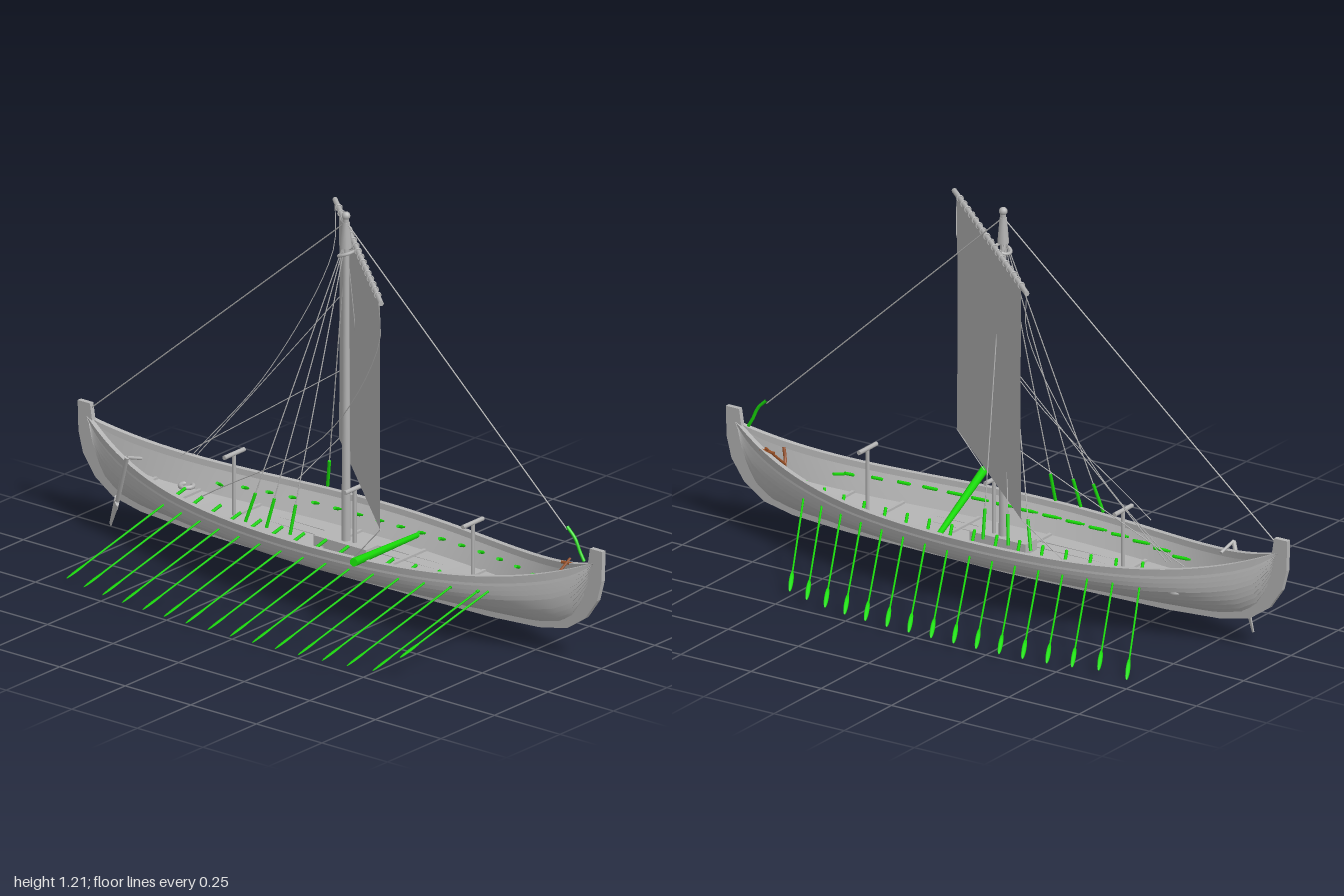
import * as THREE from 'three';

const CX = 0.012; // hull centre line
const V = (x, y, z) => new THREE.Vector3(x, y, z);

// Piecewise linear lookup in a list of [input, output]
function lookup(table, v) {
  for (let i = 1; i < table.length; i++) {
    const [a, b] = [table[i - 1], table[i]];
    if (v <= b[0]) return a[1] + (b[1] - a[1]) * (v - a[0]) / (b[0] - a[0]);
  }
  return table[table.length - 1][1];
}
const KEEL = [[0, 0.078], [0.55, 0.085], [0.75, 0.097], [0.84, 0.115], [0.9, 0.15], [0.945, 0.24], [0.965, 0.32]];
const FLARE = [[0, 0.05], [0.06, 0.2], [0.15, 0.4], [0.32, 0.66], [0.53, 0.88], [0.77, 0.975], [1, 1]];
const beam = z => Math.max(0.006, 0.212 * (1 - (z / 0.97) ** 2));
const sheer = z => 0.225 + 0.1 * Math.abs(z / 0.95) ** 4;
const bottom = z => lookup(KEEL, Math.abs(z));
const DECK = 0.42;
const deckY = z => bottom(z) + (sheer(z) - bottom(z)) * DECK;

// Half section point at height fraction t, pushed outwards by d
function side(z, t, d = 0) {
  const y = bottom(z) + (sheer(z) - bottom(z)) * t;
  return [Math.max(0.002, beam(z) * lookup(FLARE, t) + d), y];
}

// Strip of surface between two lengthwise lines, one strip per side
function strip(lineA, lineB, sign, n = 48) {
  const pos = [], idx = [];
  for (let i = 0; i <= n; i++) {
    const z = 0.965 * Math.sin((i / n - 0.5) * Math.PI);
    for (const [x, y] of [lineA(z), lineB(z)]) pos.push(CX + sign * x, y, z);
    if (i < n) {
      const k = i * 2;
      if (sign > 0) idx.push(k, k + 1, k + 2, k + 1, k + 3, k + 2);
      else idx.push(k, k + 2, k + 1, k + 1, k + 2, k + 3);
    }
  }
  const g = new THREE.BufferGeometry();
  g.setAttribute('position', new THREE.Float32BufferAttribute(pos, 3));
  g.setIndex(idx);
  g.computeVertexNormals();
  return g;
}

export function createModel() {
  const model = new THREE.Group();
  const timber = new THREE.MeshStandardMaterial({ color: 0xb4b4b4, side: THREE.DoubleSide });
  timber.name = 'greyTimber';
  const green = new THREE.MeshStandardMaterial({ color: 0x18dc08 });
  green.name = 'oarGreen';
  const brown = new THREE.MeshStandardMaterial({ color: 0x9a5228 });
  brown.name = 'anchorBrown';

  const add = (name, geo, mat = timber, parent = model) => {
    const m = new THREE.Mesh(geo, mat);
    m.name = name;
    parent.add(m);
    return m;
  };
  // Round bar between two points
  const bar = (name, a, b, r0, r1 = r0, mat = timber, parent = model) => {
    const m = add(name, new THREE.CylinderGeometry(r1, r0, a.distanceTo(b), 8), mat, parent);
    m.position.copy(a).add(b).multiplyScalar(0.5);
    m.quaternion.setFromUnitVectors(V(0, 1, 0), b.clone().sub(a).normalize());
    return m;
  };
  const rope = (name, pts, r = 0.0015, mat = timber) => pts.length === 2
    ? bar(name, pts[0], pts[1], r, r, mat)
    : add(name, new THREE.TubeGeometry(new THREE.CatmullRomCurve3(pts), 20, r, 6), mat);
  const box = (name, w, h, d, x, y, z) => {
    const m = add(name, new THREE.BoxGeometry(w, h, d), timber);
    m.position.set(x, y, z);
    return m;
  };

  // Hull: overlapping strakes, gunwale, inner bulwark and deck
  const strakes = 10;
  for (const s of [1, -1]) {
    for (let i = 0; i < strakes; i++) {
      const t0 = i / strakes, t1 = (i + 1) / strakes;
      add('strake', strip(z => side(z, t0, 0.003), z => side(z, t1), s));
      add('strakeLap', strip(z => side(z, t0), z => side(z, t0, 0.003), s));
    }
    add('rubRail', strip(z => side(z, 0.86, 0.005), z => side(z, 1, 0.005), s));
    add('rubRailUnderside', strip(z => side(z, 0.86), z => side(z, 0.86, 0.005), s));
    add('gunwale', strip(z => side(z, 1, 0.005), z => side(z, 1, -0.012), s));
    add('innerRail', strip(z => side(z, 1, -0.012), z => side(z, 0.88, -0.012), s));
    add('bulwark', strip(z => side(z, 0.88, -0.008), z => side(z, DECK, -0.008), s));
    add('deck', strip(z => side(z, DECK, -0.008), z => [0, deckY(z)], s));
  }

  // Keel and the two tall stems in one curved timber
  const outer = [[0, 0.06], [0.57, 0.068], [0.76, 0.08], [0.865, 0.102], [0.935, 0.15], [0.98, 0.215], [0.997, 0.28], [1, 0.375]];
  const inner = [[0.953, 0.375], [0.945, 0.325], [0.925, 0.24], [0.885, 0.16], [0.8, 0.12], [0.6, 0.095], [0, 0.085]];
  const half = [...outer, ...inner];
  for (const s of [1, -1]) {
    const shape = new THREE.Shape(half.map(([z, y]) => new THREE.Vector2(z * s, y)));
    const g = new THREE.ExtrudeGeometry(shape, { depth: 0.016, bevelEnabled: false });
    g.rotateY(-Math.PI / 2).translate(CX + 0.008, 0, 0);
    add(s > 0 ? 'bowStem' : 'sternStem', g);
  }

  // Deck beams and plank seams
  for (const z of [-0.75, -0.61, -0.41, -0.05, 0.2, 0.45, 0.61]) {
    box('deckBeam', side(z, DECK)[0] * 2 - 0.02, 0.008, 0.01, CX, deckY(z) + 0.003, z);
  }
  for (const x of [-0.09, -0.045, 0.045, 0.09]) box('plankSeam', 0.003, 0.004, 0.8, CX + x, deckY(0) + 0.001, 0);

  // Mast with its step, head and parrel ring
  const mx = CX, mz = 0.017;
  bar('mast', V(mx, 0.1, mz), V(mx, 1.2, mz), 0.014, 0.009);
  box('mastStep', 0.06, 0.04, 0.2, mx, deckY(0) + 0.015, mz);
  bar('mastCollar', V(mx, 1.1, mz), V(mx, 1.18, mz), 0.018, 0.011);
  add('mastHead', new THREE.SphereGeometry(0.013, 12, 8)).position.set(mx, 1.2, mz);
  const parrel = add('parrel', new THREE.TorusGeometry(0.024, 0.005, 8, 16));
  parrel.rotation.x = Math.PI / 2 - 0.4;
  parrel.position.set(mx, 1.08, mz);

  // Yard, swung round diagonally, with its lashings
  const yardA = V(-0.275, 1.095, 0.385), yardB = V(0.31, 1.095, -0.268);
  bar('yard', yardA, yardB, 0.008);
  const along = yardB.clone().sub(yardA).normalize();
  for (let i = 0; i < 17; i++) {
    const ring = add('lashing', new THREE.TorusGeometry(0.0095, 0.0025, 6, 12));
    ring.position.lerpVectors(yardA, yardB, 0.08 + 0.84 * i / 16);
    ring.quaternion.setFromUnitVectors(V(0, 0, 1), along);
  }

  // Square sail, its sides drawn in a little
  const sail = new THREE.PlaneGeometry(1, 1, 8, 12);
  const sp = sail.attributes.position;
  for (let i = 0; i < sp.count; i++) {
    const v = sp.getY(i) + 0.5;
    const u = sp.getX(i) * (1 - 0.02 * Math.sin(v * Math.PI)) + 0.5;
    sp.setXYZ(i, -0.237 + 0.513 * u, 0.36 + 0.728 * v, 0.35 - 0.575 * u);
  }
  sail.computeVertexNormals();
  add('sail', sail);

  // Stays, shrouds, braces and sheets
  const head = V(mx, 1.18, mz);
  rope('forestay', [head, V(CX, 0.41, 0.86)], 0.002);
  rope('forestayTackle', [V(CX, 0.42, 0.86), V(CX, 0.39, 0.89), V(CX, 0.35, 0.91), V(CX, 0.325, 0.925)], 0.005, green);
  rope('backstay', [head, V(CX, 0.35, -0.965)], 0.002);
  for (const s of [1, -1]) for (const z of [-0.04, -0.13, -0.21]) {
    const foot = V(CX + s * 0.192, 0.235, z), top = V(mx, 1.13, mz);
    const knot = foot.clone().lerp(top, 0.1);
    rope('shroud', [knot, top], 0.0018);
    rope('shroudTackle', [foot, knot], 0.005, green);
  }
  rope('brace', [V(0.3, 1.09, -0.26), V(0.28, 0.95, -0.25), V(0.2, 0.55, -0.43), V(0.1, 0.26, -0.64)]);
  rope('brace', [V(-0.27, 1.09, 0.37), V(-0.235, 0.95, 0.345), V(-0.2, 0.6, 0.12), V(-0.15, 0.26, -0.4)]);
  rope('leechLine', [V(0.273, 0.81, -0.22), V(0.11, 0.26, -0.63)]);
  rope('leechLine', [V(0.273, 0.575, -0.22), V(0.09, 0.25, -0.68)]);
  rope('sheet', [V(0.276, 0.36, -0.225), V(0.2, 0.23, -0.32)]);
  rope('tack', [V(-0.237, 0.36, 0.35), V(-0.235, 0.25, 0.25)]);

  // Oars: sixteen a side, sweeping out and aft
  const oar = (s, i) => {
    const reach = 0.085 * Math.abs(2 * i / 15 - 1) ** 3;
    const group = new THREE.Group();
    group.name = s > 0 ? 'leftOar' : 'rightOar';
    let a, b;
    if (s > 0) {
      const z = 0.49 - 0.08 * i;
      b = V(0.525 - reach, i === 15 ? 0.008 : 0.03, z);
      a = V(0.115 - reach * 0.7, 0.215, z + 0.2);
    } else {
      const z = 0.61 - 0.0847 * i;
      b = V(-0.533 + reach * 0.8, i === 0 ? 0.085 : 0.03, z);
      a = V(-0.105 + reach * 0.8, 0.215, z + (i === 0 ? 0.045 : 0.105));
    }
    const len = a.distanceTo(b);
    const shaft = add('oarShaft', new THREE.CylinderGeometry(0.0028, 0.0035, len * 0.95, 6), green, group);
    shaft.position.y = len * 0.475;
    const blade = add('oarBlade', new THREE.SphereGeometry(1, 8, 8), green, group);
    blade.scale.set(0.003, 0.045, 0.0075);
    blade.position.y = len - 0.045;
    const grip = add('oarGrip', new THREE.CylinderGeometry(0.005, 0.005, 0.06, 6), green, group);
    grip.position.y = 0.03;
    group.position.copy(a);
    group.quaternion.setFromUnitVectors(V(0, 1, 0), b.clone().sub(a).normalize());
    model.add(group);
  };
  for (let i = 0; i < 16; i++) { oar(1, i); oar(-1, i); }

  // Green spar lying across the hull
  bar('looseSpar', V(0.175, 0.175, 0.155), V(-0.257, 0.243, 0.265), 0.008, 0.013, green);

  // Crutches for stowed spars
  for (const z of [0.5, 0.05, -0.41]) {
    bar('crutchPost', V(CX, deckY(z), z), V(CX, 0.345, z), 0.006);
    bar('crutchBar', V(CX - 0.047, 0.345, z), V(CX + 0.047, 0.345, z), 0.007);
  }

  // Steering oar on the right quarter, with tiller
  const rTop = V(-0.09, 0.285, -0.735), rLow = V(-0.045, 0.09, -0.815);
  bar('rudderStock', rLow, rTop, 0.007);
  bar('tiller', rTop, V(-0.03, 0.265, -0.73), 0.005);
  const blade = bar('rudderBlade', V(-0.052, 0.12, -0.805), V(-0.038, 0.035, -0.84), 0.026, 0.012);
  blade.scale.x = 0.25;

  // Coil of rope and the anchor
  const coil = add('ropeCoil', new THREE.TorusGeometry(0.02, 0.007, 8, 16));
  coil.rotation.x = Math.PI / 2;
  coil.position.set(0.085, deckY(-0.65) + 0.008, -0.65);
  bar('anchorShank', V(0.0, 0.225, 0.8), V(0.07, 0.295, 0.825), 0.004, 0.004, brown);
  bar('anchorStock', V(0.06, 0.28, 0.8), V(0.062, 0.282, 0.85), 0.005, 0.005, brown);
  rope('anchorArms', [V(-0.02, 0.27, 0.82), V(-0.012, 0.235, 0.81), V(0.01, 0.215, 0.8), V(0.045, 0.22, 0.8)], 0.005, brown);

  return model;
}
